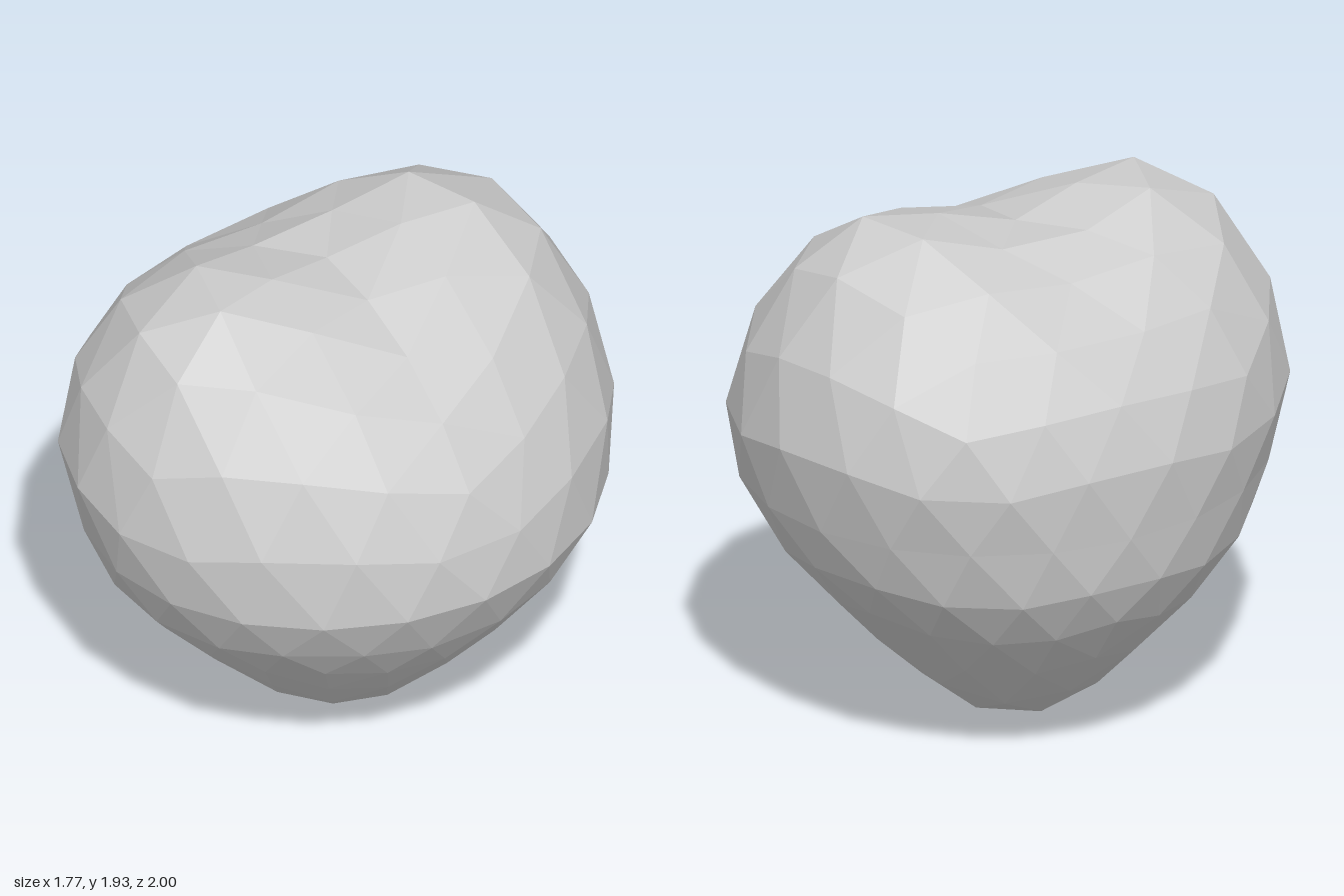
import * as THREE from 'three';

// Icosahedron with its poles on the y axis and an upper corner towards +x
function poleIcosahedron() {
  const verts = [0, 1, 0, 0, -1, 0];
  const faces = [];
  const h = 1 / Math.sqrt(5), r = 2 * h;
  for (let k = 0; k < 5; k++) {
    const a = (k * 2 * Math.PI) / 5, b = a + Math.PI / 5;
    verts.push(r * Math.cos(a), h, r * Math.sin(a), r * Math.cos(b), -h, r * Math.sin(b));
    const n = (k + 1) % 5;
    const u0 = 2 + 2 * k, l0 = u0 + 1, u1 = 2 + 2 * n, l1 = u1 + 1;
    faces.push(0, u1, u0, u0, u1, l0, l0, u1, l1, l0, l1, 1);
  }
  return new THREE.PolyhedronGeometry(verts, faces, 1, 0);
}

// Split every face in four and push the new corners onto the unit sphere
function subdivide(geometry) {
  const position = geometry.attributes.position;
  const indices = Array.from({ length: position.count }, (_, i) => i);
  return new THREE.PolyhedronGeometry(Array.from(position.array), indices, 1, 1);
}

// Upper half: two lobes beside a shallow groove along x, the top leaning to -x
function shapeTop(p) {
  const up = p.y, side = Math.abs(p.z);
  const x = p.x * (0.88 + 0.12 * up * (1 - up)) * (1 - 0.05 * p.z) - 0.07 * up - 0.08 * up * side;
  const z = p.z * (0.95 + 0.48 * up * (1 - 0.8 * up));
  const ridge = 0.41 * Math.pow(up, 1.75) * THREE.MathUtils.smoothstep(side, 0, 0.8);
  const lobes = ridge * (1 + 0.3 * p.x - 0.9 * p.x * p.x);
  return p.set(x, 0.94 + 0.91 * up + lobes, z);
}

// Lower half: oval sections that narrow evenly to a blunt point
function shapeBottom(p) {
  const down = -p.y;
  const lean = 0.04 * down + 0.12 * down * (1 - down);
  const x = p.x * (0.88 - 0.14 * down) * (1 - 0.05 * p.z) - lean;
  const z = p.z * (0.95 - 0.27 * down);
  const y = 0.94 * (1 - down) + 0.65 * down * down * (1 - down);
  return p.set(x, y, z);
}

export function createModel() {
  const group = new THREE.Group();
  group.name = 'heartStone';

  const geometry = subdivide(subdivide(poleIcosahedron()));
  const position = geometry.attributes.position;
  const p = new THREE.Vector3();
  for (let i = 0; i < position.count; i++) {
    p.fromBufferAttribute(position, i);
    if (p.y > 0) shapeTop(p);
    else shapeBottom(p);
    position.setXYZ(i, p.x, p.y, p.z);
  }
  geometry.computeVertexNormals();

  const body = new THREE.Mesh(
    geometry,
    new THREE.MeshStandardMaterial({ color: 0xcccccc, flatShading: true })
  );
  body.name = 'body';
  group.add(body);
  return group;
}
